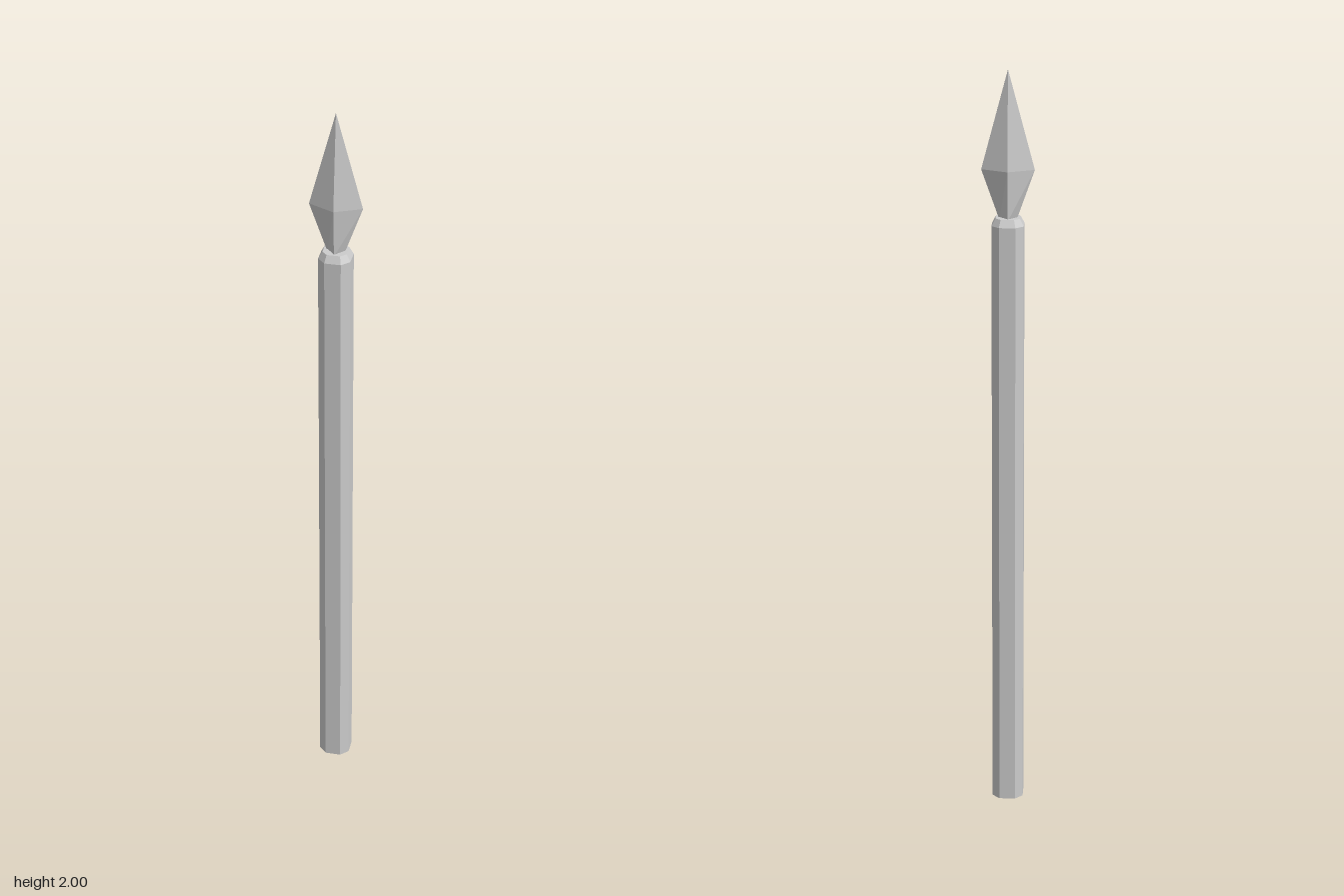
import * as THREE from 'three';

const material = new THREE.MeshStandardMaterial({ color: 0xcccccc, flatShading: true });

// Joins rings of [x, z] corners at given heights into a closed faceted solid.
// Corners run counter-clockwise seen from above (from +z towards +x).
function loft(sections) {
  const n = sections[0].ring.length;
  const positions = [];
  const index = [];
  for (const { y, ring } of sections) {
    for (const [x, z] of ring) positions.push(x, y, z);
  }
  for (let s = 0; s < sections.length - 1; s++) {
    for (let i = 0; i < n; i++) {
      const a = s * n + i;
      const b = s * n + ((i + 1) % n);
      index.push(a, b, b + n, a, b + n, a + n);
    }
  }
  const top = (sections.length - 1) * n;
  for (let i = 1; i < n - 1; i++) {
    index.push(0, i + 1, i); // bottom cap
    index.push(top, top + i, top + i + 1); // top cap
  }
  const geometry = new THREE.BufferGeometry();
  geometry.setAttribute('position', new THREE.Float32BufferAttribute(positions, 3));
  geometry.setIndex(index);
  const flat = geometry.toNonIndexed();
  flat.computeVertexNormals();
  return flat;
}

// Square with cut corners: half width w, half length of the flat side c
const octagon = (w, c) => [
  [-c, w], [c, w], [w, c], [w, -c], [c, -w], [-c, -w], [-w, -c], [-w, c],
];

const diamond = (w, d) => [[0, d], [w, 0], [0, -d], [-w, 0]];

function addPart(group, name, sections) {
  const mesh = new THREE.Mesh(loft(sections), material);
  mesh.name = name;
  group.add(mesh);
}

export function createModel() {
  const group = new THREE.Group();
  group.name = 'spear';

  // Eight-sided shaft with a bevelled top edge
  addPart(group, 'shaft', [
    { y: 0, ring: octagon(0.041, 0.021) },
    { y: 1.603, ring: octagon(0.041, 0.021) },
    { y: 1.622, ring: octagon(0.031, 0.017) },
  ]);

  // Four-sided blade, widest a third of the way up, tapering to a point
  addPart(group, 'blade', [
    { y: 1.615, ring: diamond(0.022, 0.024) },
    { y: 1.745, ring: diamond(0.068, 0.031) },
    { y: 2, ring: diamond(0.0002, 0.0002) },
  ]);

  return group;
}
